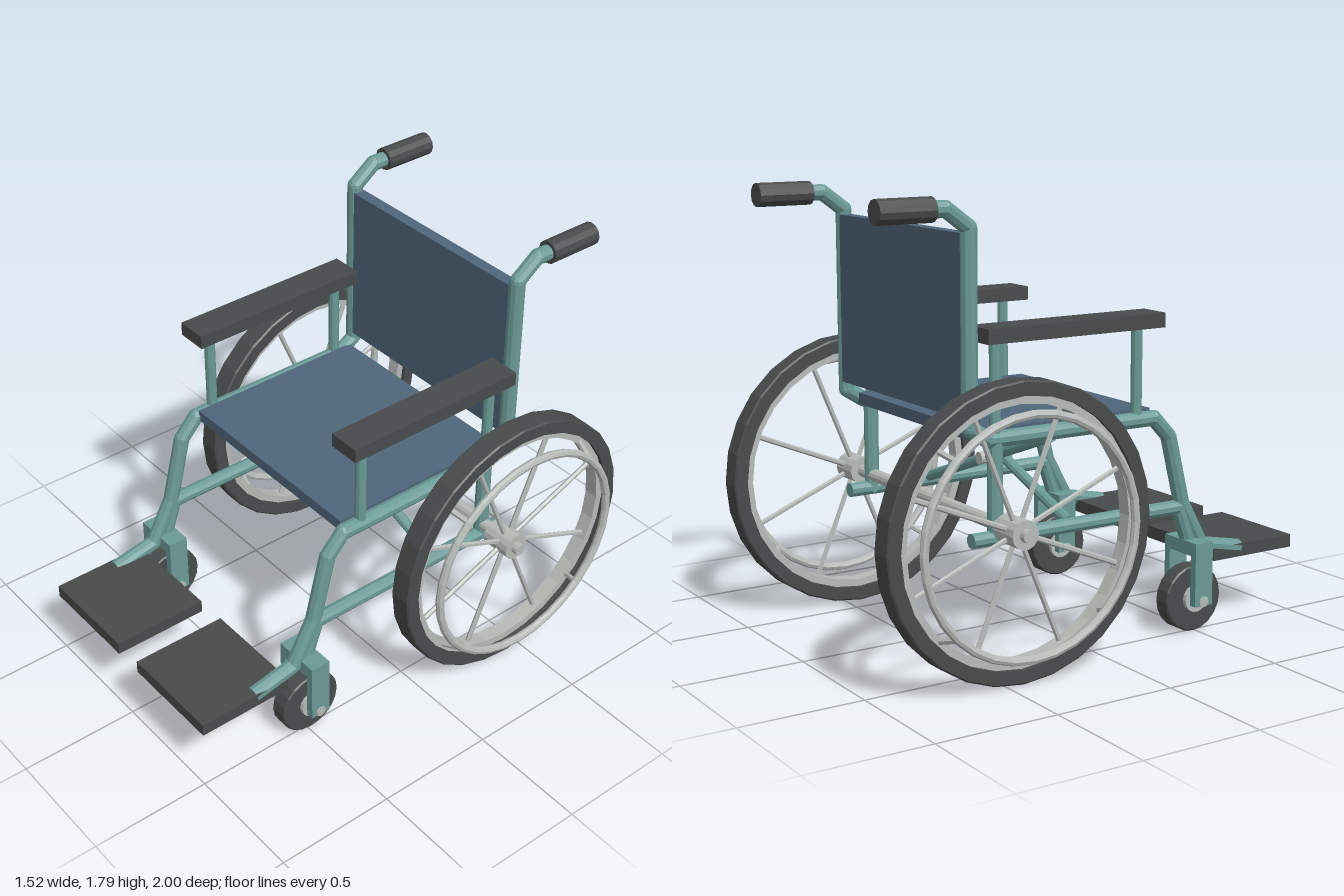
import * as THREE from 'three';

const mat = (color) => new THREE.MeshStandardMaterial({ color, flatShading: true });
const V = (x, y, z) => new THREE.Vector3(x, y, z);

export function createModel() {
  const model = new THREE.Group();
  const teal = mat(0x6a9a96), blue = mat(0x4f6579), dark = mat(0x484b4b), metal = mat(0xb6bbb8);

  const add = (parent, name, geometry, material) => {
    const mesh = new THREE.Mesh(geometry, material);
    mesh.name = name;
    parent.add(mesh);
    return mesh;
  };
  const group = (parent, name) => {
    const g = new THREE.Group();
    g.name = name;
    parent.add(g);
    return g;
  };
  // Box given by its low and high corners
  const box = (parent, name, lo, hi, material) => {
    const size = hi.map((v, i) => v - lo[i]);
    const mesh = add(parent, name, new THREE.BoxGeometry(...size), material);
    mesh.position.set(...hi.map((v, i) => (v + lo[i]) / 2));
  };
  // Straight round bar between two points
  const bar = (parent, name, a, b, r, material, sides = 10) => {
    const dir = b.clone().sub(a);
    const mesh = add(parent, name, new THREE.CylinderGeometry(r, r, dir.length(), sides), material);
    mesh.position.copy(a).add(b).multiplyScalar(0.5);
    mesh.quaternion.setFromUnitVectors(V(0, 1, 0), dir.normalize());
  };
  // Bent tube: bars along [z, y] points at one x, with a ball in each bend
  const bentTube = (parent, name, x, pts, r) => {
    const g = group(parent, name);
    const p = pts.map(([z, y]) => V(x, y, z));
    for (let i = 1; i < p.length; i++) {
      bar(g, name + 'Section', p[i - 1], p[i], r, teal);
      if (i < p.length - 1) {
        add(g, name + 'Bend', new THREE.SphereGeometry(r, 10, 8), teal).position.copy(p[i]);
      }
    }
  };
  // Ring of rectangular section around the x axis, with a small edge bevel
  const ring = (parent, name, inner, outer, width, bevel, sides, material) => {
    const w = width / 2;
    const profile = [[inner, -w], [outer - bevel, -w], [outer, -w + bevel], [outer, w - bevel],
      [outer - bevel, w], [inner, w], [inner, -w]].map(([r, h]) => new THREE.Vector2(r, h));
    add(parent, name, new THREE.LatheGeometry(profile, sides), material).rotation.z = -Math.PI / 2;
  };

  // Seat and backrest
  box(model, 'seat', [-0.46, 0.88, -0.5], [0.46, 0.927, 0.297], blue);
  box(model, 'backrest', [-0.48, 0.977, -0.567], [0.48, 1.655, -0.517], blue);

  // Folding cross brace and rear axle
  bar(model, 'crossBraceFront', V(-0.47, 0.53, -0.095), V(0.47, 0.87, -0.095), 0.022, teal);
  bar(model, 'crossBraceRear', V(0.47, 0.53, -0.168), V(-0.47, 0.87, -0.168), 0.022, teal);
  bar(model, 'bracePivot', V(0, 0.7, -0.205), V(0, 0.7, -0.06), 0.026, metal, 12);
  bar(model, 'rearAxle', V(-0.715, 0.57, -0.43), V(0.715, 0.57, -0.43), 0.026, metal, 12);

  for (const s of [-1, 1]) {
    const x = s * 0.48;
    const side = group(model, s > 0 ? 'leftSide' : 'rightSide');

    // Side frame tubes
    bentTube(side, 'mainTube', x, [[0.74, 0.305], [0.545, 0.345], [0.445, 0.53], [0.375, 0.81],
      [0.3, 0.89], [-0.46, 0.89], [-0.54, 0.94], [-0.54, 1.675], [-0.635, 1.745], [-0.8, 1.745]], 0.032);
    bentTube(side, 'lowerRail', x, [[-0.535, 0.515], [0.43, 0.515], [0.487, 0.35]], 0.03);
    bar(side, 'axlePost', V(x, 0.5, -0.43), V(x, 0.89, -0.43), 0.03, teal);
    bar(side, 'handGrip', V(x, 1.745, -0.69), V(x, 1.745, -0.92), 0.047, dark, 12);

    // Armrest
    for (const z of [0.215, -0.43]) {
      bar(side, 'armrestPost', V(x, 0.89, z), V(x, 1.27, z), 0.022, teal);
    }
    box(side, 'armrest', [x - 0.068, 1.255, -0.5], [x + 0.068, 1.312, 0.3], dark);

    // Footplate
    box(side, 'footplate', [s * 0.2875 - 0.2225, 0.272, 0.595], [s * 0.2875 + 0.2225, 0.325, 1], dark);

    // Caster fork and wheel
    const caster = group(side, 'caster');
    caster.position.set(x, 0, 0.488);
    box(caster, 'forkCrown', [-0.1, 0.325, -0.043], [0.1, 0.38, 0.043], teal);
    for (const k of [-1, 1]) {
      box(caster, 'forkBlade', [k * 0.084 - 0.016, 0.12, -0.043], [k * 0.084 + 0.016, 0.35, 0.043], teal);
    }
    bar(caster, 'casterAxle', V(-0.105, 0.138, 0), V(0.105, 0.138, 0), 0.022, metal, 12);
    bar(caster, 'casterHub', V(-0.055, 0.138, 0), V(0.055, 0.138, 0), 0.055, metal, 14);
    const tire = group(caster, 'casterTire');
    tire.position.y = 0.136;
    ring(tire, 'casterTireRing', 0.05, 0.136, 0.075, 0.006, 20, dark);

    // Drive wheel
    const wheel = group(side, 'driveWheel');
    wheel.position.set(s * 0.633, 0.57, -0.43);
    ring(wheel, 'tire', 0.513, 0.57, 0.096, 0.006, 28, dark);
    ring(wheel, 'rim', 0.482, 0.518, 0.06, 0.002, 28, metal);
    bar(wheel, 'hub', V(-s * 0.075, 0, 0), V(s * 0.055, 0, 0), 0.057, metal, 14);
    const pushRim = add(wheel, 'pushRim', new THREE.TorusGeometry(0.456, 0.017, 8, 32), metal);
    pushRim.rotation.y = Math.PI / 2;
    pushRim.position.x = s * 0.108;
    for (let i = 0; i < 8; i++) {
      const a = (i + 0.5) * Math.PI / 4;
      const at = (r, dx) => V(s * dx, r * Math.sin(a), r * Math.cos(a));
      bar(wheel, 'spoke', at(0.04, 0), at(0.49, 0), 0.011, metal, 6);
    }
    for (let i = 0; i < 4; i++) {
      const a = (i + 0.5) * Math.PI / 2;
      const at = (r, dx) => V(s * dx, r * Math.sin(a), r * Math.cos(a));
      bar(wheel, 'pushRimMount', at(0.495, 0.015), at(0.458, 0.108), 0.012, metal, 6);
    }
  }
  return model;
}
